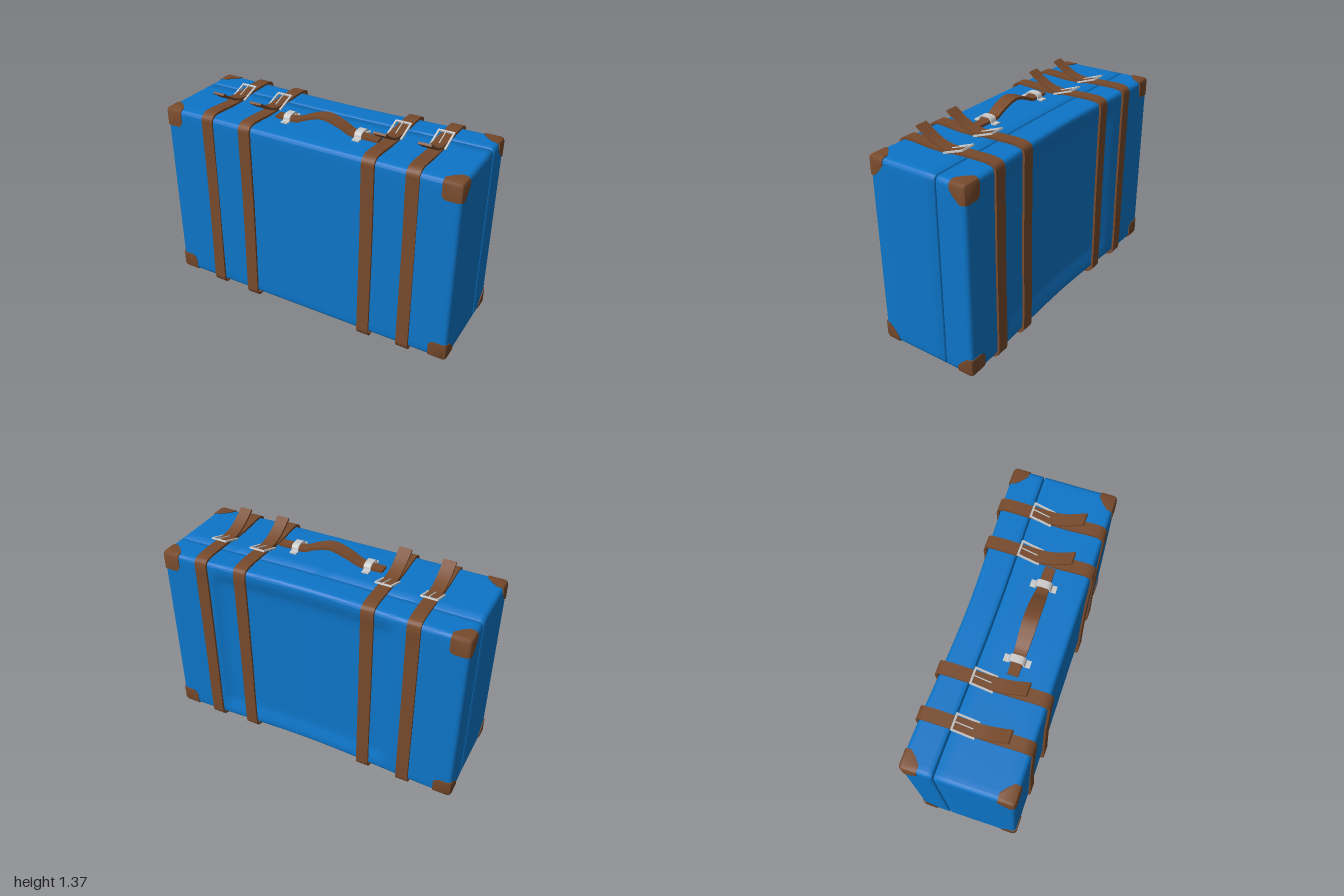
import * as THREE from 'three';
import { mergeVertices, toCreasedNormals } from 'three/addons/utils/BufferGeometryUtils.js';
import { ConvexGeometry } from 'three/addons/geometries/ConvexGeometry.js';

const blue = new THREE.MeshStandardMaterial({ color: 0x0d75c8 });
const leather = new THREE.MeshStandardMaterial({ color: 0x774a2c });
const metal = new THREE.MeshStandardMaterial({ color: 0xcccccc });

const HALF_X = 0.995, Y0 = 0.04, Y1 = 1.26, Z_BACK = -0.335, Z_FRONT = 0.325;
const step = THREE.MathUtils.smoothstep;

function add(parent, name, geometry, material) {
  const mesh = new THREE.Mesh(geometry, material);
  mesh.name = name;
  parent.add(mesh);
  return mesh;
}

// Worn leather: the rear sags inwards and its back panel is dented
function sag(p, onBack) {
  const rear = THREE.MathUtils.clamp(p.z / Z_BACK, 0, 1);
  let dz = 0.033 * rear * Math.cos(p.x * Math.PI / 2) ** 2;
  if (onBack) {
    dz += 0.024 * step(p.x, -0.58, -0.46) * (1 - step(p.x, 0.6, 0.67))
      * step(p.y, 0.09, 0.18) * (1 - step(p.y, 1.12, 1.21));
  }
  p.z += dz;
}

// Rounded box with its own edge radius in z at the back and the front
function shell(z0, z1, rBack, rFront) {
  const n = [70, 34, 12], k = 3, r = 0.028;
  const lo = [-HALF_X, Y0, z0], hi = [HALF_X, Y1, z1];
  const rLo = [r, r, rBack], rHi = [r, r, rFront];
  let geo = new THREE.BoxGeometry(1, 1, 1, ...n);
  const pos = geo.attributes.position;
  const p = new THREE.Vector3();
  for (let i = 0; i < pos.count; i++) {
    const core = [], d = new THREE.Vector3(), radius = [];
    for (let a = 0; a < 3; a++) {
      const j = Math.round((pos.getComponent(i, a) + 0.5) * n[a]);
      const low = lo[a] + rLo[a], high = hi[a] - rHi[a];
      const t = THREE.MathUtils.clamp((j - k) / (n[a] - 2 * k), 0, 1);
      core[a] = low + (high - low) * t;
      d.setComponent(a, j < k ? j / k - 1 : j > n[a] - k ? 1 - (n[a] - j) / k : 0);
      radius[a] = j < n[a] / 2 ? rLo[a] : rHi[a];
    }
    const onBack = z0 === Z_BACK && d.z < -0.99;
    d.normalize();
    p.set(core[0] + d.x * radius[0], core[1] + d.y * radius[1], core[2] + d.z * radius[2]);
    sag(p, onBack);
    pos.setXYZ(i, p.x, p.y, p.z);
  }
  geo.deleteAttribute('uv');
  geo.deleteAttribute('normal');
  geo = mergeVertices(geo, 1e-5);
  return toCreasedNormals(geo, 0.8);
}

// Flat band following a curve in the xy plane, extruded along z
function band(points, thickness, width, samples) {
  const curve = new THREE.CatmullRomCurve3(points.map(([x, y]) => new THREE.Vector3(x, y, 0)));
  const left = [], right = [];
  for (let i = 0; i <= samples; i++) {
    const c = curve.getPoint(i / samples), t = curve.getTangent(i / samples);
    const ox = -t.y * thickness / 2, oy = t.x * thickness / 2;
    left.push(new THREE.Vector2(c.x + ox, c.y + oy));
    right.push(new THREE.Vector2(c.x - ox, c.y - oy));
  }
  const shape = new THREE.Shape([...left, ...right.reverse()]);
  const geo = new THREE.ExtrudeGeometry(shape, { depth: width, bevelEnabled: false });
  return toCreasedNormals(geo.translate(0, 0, -width / 2), 0.6);
}

// The same band with its curve in the zy plane
const sideBand = (...args) => band(...args).rotateY(-Math.PI / 2);

// Corner cap as a hull of three plates; a, b, c are distances inwards along x, y, z
function cornerCap(sx, sy, sz) {
  const o = -0.005, m = 0.003, e = 0.02, L = 0.115, D = 0.1;
  const pts = [[0.006, 0.006, 0.006]];
  for (const [u, v] of [[e, e], [L, e], [L, 0.09], [0.107, 0.107], [0.09, L], [e, L]]) pts.push([u, v, o]);
  for (const [u, c] of [[e, e], [e, D], [0.045, D], [0.085, 0.068], [L, 0.035], [L, e]]) {
    pts.push([o, u, c], [u, o, c]);
  }
  for (const t of [e, L]) pts.push([t, m, m], [m, t, m]);
  for (const t of [e, D]) pts.push([m, m, t]);
  const hull = new ConvexGeometry(pts.map(([a, b, c]) => new THREE.Vector3(
    sx * (HALF_X - a),
    sy > 0 ? Y1 - b : Y0 + b,
    sz > 0 ? Z_FRONT - c : Z_BACK + c)));
  return toCreasedNormals(hull, 0.65);
}

// Open rectangular frame lying in the xz plane
function buckleFrame(w, l, bar, t) {
  const rect = (target, x, y) => target.moveTo(-x, -y).lineTo(x, -y).lineTo(x, y).lineTo(-x, y).closePath();
  const shape = rect(new THREE.Shape(), w / 2, l / 2);
  shape.holes.push(rect(new THREE.Path(), w / 2 - bar, l / 2 - bar));
  const geo = new THREE.ExtrudeGeometry(shape, { depth: t, bevelEnabled: false });
  return geo.translate(0, 0, -t / 2).rotateX(-Math.PI / 2);
}

export function createModel() {
  const model = new THREE.Group();
  model.name = 'suitcase';

  // Case: deep front body and shallow rear lid, with a thin seam between
  add(model, 'body', shell(-0.139, Z_FRONT, 0.006, 0.028), blue);
  add(model, 'lid', shell(Z_BACK, -0.143, 0.028, 0.006), blue);

  // Eight corner caps
  for (const sx of [-1, 1]) for (const sy of [-1, 1]) for (const sz of [-1, 1]) {
    add(model, 'cornerCap', cornerCap(sx, sy, sz), leather);
  }

  // Straps: from the buckle over the front, under, up the back and on to the loose tail
  const strapPath = [
    [-0.03, 1.264], [0.1, 1.266], [0.24, 1.276], [0.3, 1.273], [0.328, 1.25], [0.331, 1.2],
    [0.328, 0.8], [0.332, 0.4], [0.337, 0.12], [0.336, 0.05], [0.318, 0.025], [0.27, 0.024],
    [0, 0.022], [-0.22, 0.012], [-0.29, 0.015], [-0.325, 0.04], [-0.331, 0.1],
    [-0.331, 0.6], [-0.334, 1.15], [-0.335, 1.23], [-0.325, 1.265], [-0.29, 1.278],
    [-0.15, 1.28], [0, 1.277], [0.06, 1.289], [0.12, 1.317], [0.2, 1.371],
  ];
  const strapGeo = sideBand(strapPath, 0.014, 0.08, 190);
  const frameGeo = buckleFrame(0.105, 0.142, 0.011, 0.01);
  for (const [x, shift] of [[-0.672, -0.005], [-0.392, 0.004], [0.442, 0.004], [0.71, -0.005]]) {
    const strap = new THREE.Group();
    strap.name = 'strap';
    strap.position.set(x, 0, shift);
    model.add(strap);
    add(strap, 'strapBand', strapGeo, leather);
    const buckle = new THREE.Group();
    buckle.name = 'buckle';
    buckle.position.set(0, 1.288, -0.062);
    buckle.rotation.x = 0.34;
    strap.add(buckle);
    add(buckle, 'buckleFrame', frameGeo, metal);
    const prong = add(buckle, 'buckleProng', new THREE.CylinderGeometry(0.004, 0.004, 0.11, 8), metal);
    prong.rotation.x = Math.PI / 2;
    prong.position.set(0, 0.009, -0.01);
  }

  // Arched handle, widest at the grip
  const handle = band([
    [-0.31, 1.267], [-0.22, 1.268], [-0.16, 1.274], [-0.08, 1.308], [0.03, 1.337],
    [0.14, 1.308], [0.21, 1.275], [0.27, 1.268], [0.39, 1.267],
  ], 0.018, 0.064, 60);
  const hp = handle.attributes.position;
  for (let i = 0; i < hp.count; i++) {
    const grip = Math.max(0, 1 - ((hp.getX(i) - 0.03) / 0.25) ** 2);
    hp.setZ(i, hp.getZ(i) * (1 + 0.4 * grip));
  }
  add(model, 'handle', handle, leather).position.z = 0.083;

  // Metal clips over both ends of the handle
  const clipGeo = sideBand([
    [0.16, 1.264], [0.13, 1.265], [0.122, 1.288], [0.108, 1.298], [0.081, 1.3],
    [0.054, 1.298], [0.04, 1.288], [0.032, 1.265], [0.002, 1.264],
  ], 0.009, 0.045, 40);
  for (const x of [-0.22, 0.267]) add(model, 'handleClip', clipGeo, metal).position.x = x;

  return model;
}
